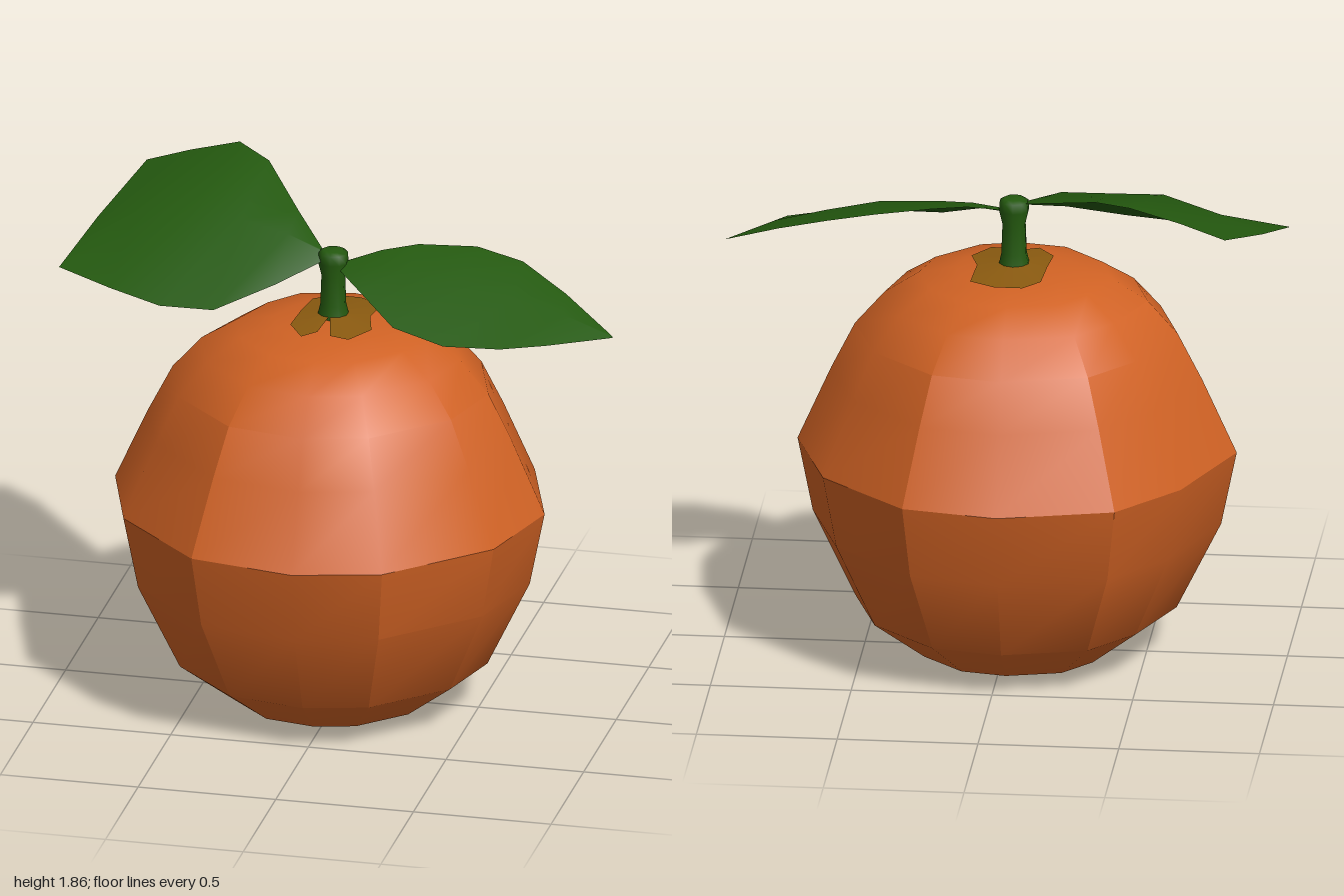
import * as THREE from 'three';
import { toCreasedNormals } from 'three/addons/utils/BufferGeometryUtils.js';

const CX = -0.03; // centre line of fruit and stem

// Grid of points (rows x cols) to a surface; closed wraps the columns
function gridSurface(rows, closed) {
  const cols = rows[0].length;
  const pos = rows.flat(2);
  const index = [];
  const last = closed ? cols : cols - 1;
  for (let r = 0; r < rows.length - 1; r++) {
    for (let i = 0; i < last; i++) {
      const j = (i + 1) % cols;
      const a = r * cols + i, b = r * cols + j;
      const c = a + cols, d = b + cols;
      if (closed) {
        if (r > 0) index.push(a, b, d);
        if (r < rows.length - 2) index.push(a, d, c);
        else if (r === 0) index.push(a, d, c);
      } else {
        index.push(a, c, d, a, d, b);
      }
    }
  }
  const g = new THREE.BufferGeometry();
  g.setAttribute('position', new THREE.Float32BufferAttribute(pos, 3));
  g.setIndex(index);
  g.computeVertexNormals();
  return g;
}

export function createModel() {
  const group = new THREE.Group();
  const peel = new THREE.MeshStandardMaterial({ name: 'orange peel', color: 0xd06224 });
  const green = new THREE.MeshStandardMaterial({ name: 'leaf green', color: 0x24590f, side: THREE.DoubleSide });
  const ochre = new THREE.MeshStandardMaterial({ name: 'calyx ochre', color: 0x8a5a10, side: THREE.DoubleSide });
  const add = (name, geometry, material) => {
    const mesh = new THREE.Mesh(geometry, material);
    mesh.name = name;
    group.add(mesh);
    return mesh;
  };

  // Fruit: irregular twelve-sided outline (x, z) scaled by height
  const outline = [
    [0, 0.76], [0.31, 0.68], [0.64, 0.36], [0.74, 0], [0.61, -0.4], [0.3, -0.69],
    [-0.04, -0.755], [-0.45, -0.65], [-0.66, -0.4], [-0.82, 0], [-0.7, 0.38], [-0.38, 0.69],
  ];
  const profile = [
    [0, 0], [0, 0.3], [0.02, 0.47], [0.17, 0.73], [0.49, 0.93], [0.76, 1],
    [1.03, 0.845], [1.2, 0.735], [1.32, 0.6], [1.4, 0.44], [1.425, 0.27], [1.45, 0],
  ];
  const rings = profile.map(([y, s]) => outline.map(([x, z]) => [CX + (x - CX) * s, y, z * s]));
  add('fruit', toCreasedNormals(gridSurface(rings, true), 0.5), peel);

  // Calyx: thin lobed patch lying on the crown, notched at the front
  const lobes = [
    [0, 0.04], [0.03, 0.17], [0.1, 0.18], [0.16, 0.08], [0.13, -0.03], [0.14, -0.17],
    [0.05, -0.22], [-0.05, -0.22], [-0.11, -0.16], [-0.12, -0.03], [-0.13, 0.1], [-0.07, 0.19], [-0.02, 0.15],
  ];
  const crown = (x, z) => 1.461 - 0.125 * Math.hypot(x, z);
  const patch = [
    lobes.map(() => [CX, crown(0, 0), 0]),
    lobes.map(([x, z]) => [CX + x, crown(x, z), z]),
  ];
  add('calyx', gridSurface(patch, false), ochre);

  // Stem: slim stalk with a flared foot and a knob on top
  const stalk = [[0.06, 1.43], [0.046, 1.49], [0.042, 1.6], [0.054, 1.65], [0.052, 1.685], [0.035, 1.695], [0, 1.697]];
  const stem = add('stem', new THREE.LatheGeometry(stalk.map(([r, y]) => new THREE.Vector2(r, y)), 10), green);
  stem.position.set(CX, 0, -0.01);

  // Left leaf: pointed, rows run front edge, midrib, back edge
  const leftLeaf = [
    [[0, 1.63, 0.02], [0, 1.65, 0], [0.01, 1.65, -0.02]],
    [[0.1, 1.6, 0.13], [0.12, 1.66, 0.02], [0.13, 1.68, -0.08]],
    [[0.25, 1.53, 0.26], [0.25, 1.655, 0.04], [0.25, 1.69, -0.14]],
    [[0.45, 1.505, 0.33], [0.45, 1.64, 0.06], [0.45, 1.68, -0.19]],
    [[0.65, 1.505, 0.31], [0.64, 1.6, 0.06], [0.62, 1.645, -0.175]],
    [[0.8, 1.505, 0.24], [0.82, 1.555, 0.06], [0.8, 1.575, -0.08]],
    [[0.99, 1.48, 0.06], [1, 1.48, 0.05], [0.99, 1.485, 0.04]],
  ];
  add('leftLeaf', gridSurface(leftLeaf, false), green);

  // Right leaf: broad with a blunt end, rows run back edge, midrib, front edge
  const rightLeaf = [
    [[-0.07, 1.68, -0.03], [-0.06, 1.68, -0.01], [-0.06, 1.66, 0.02]],
    [[-0.2, 1.75, -0.2], [-0.2, 1.73, -0.03], [-0.2, 1.61, 0.15]],
    [[-0.36, 1.84, -0.42], [-0.38, 1.75, -0.08], [-0.4, 1.54, 0.27]],
    [[-0.49, 1.86, -0.52], [-0.57, 1.76, -0.1], [-0.6, 1.53, 0.25]],
    [[-0.67, 1.81, -0.525], [-0.78, 1.71, -0.15], [-0.8, 1.55, 0.175]],
    [[-0.83, 1.755, -0.53], [-0.93, 1.66, -0.2], [-1, 1.58, 0.1]],
  ];
  add('rightLeaf', gridSurface(rightLeaf, false), green);

  return group;
}
